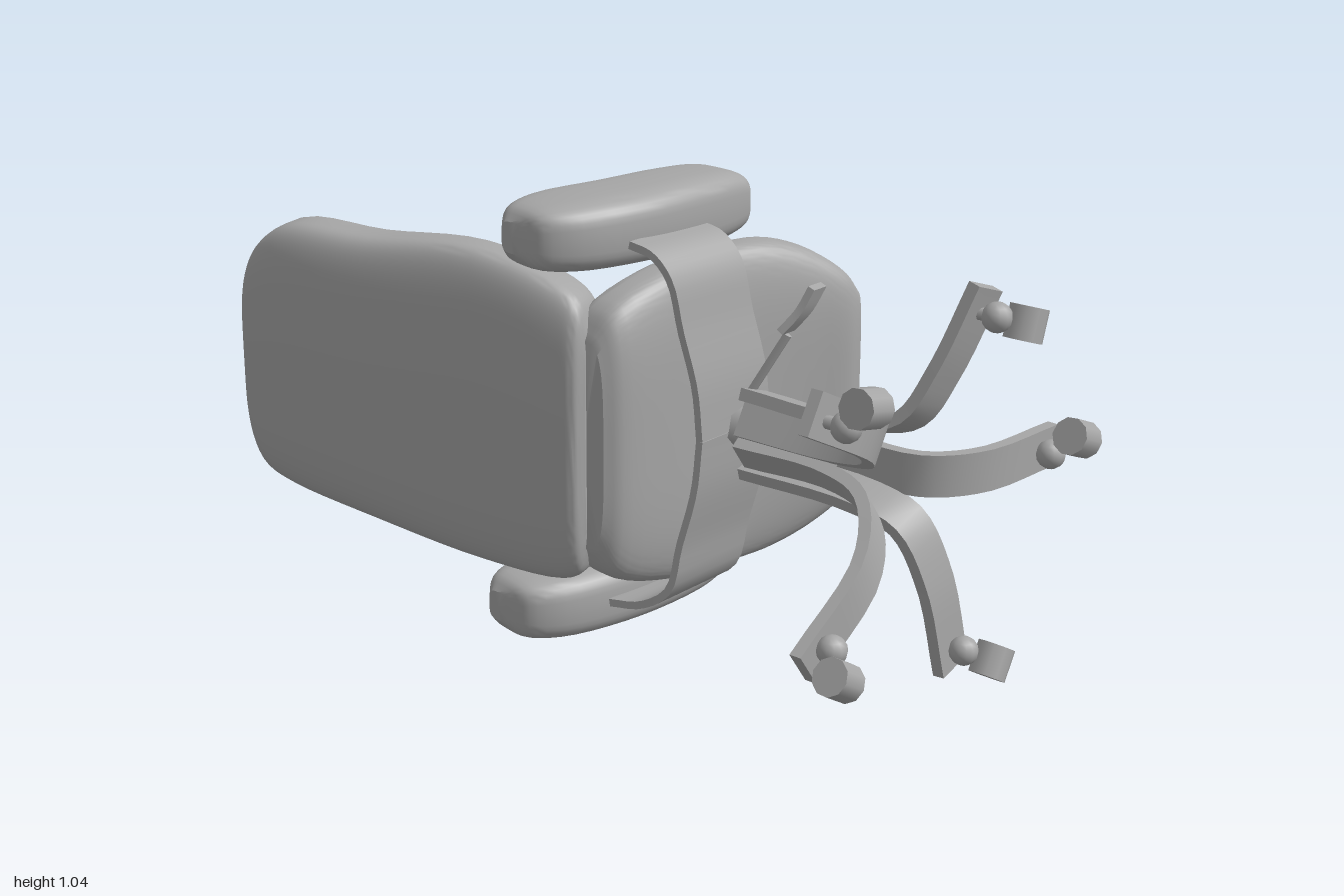
import * as THREE from 'three';
import { toCreasedNormals } from 'three/addons/utils/BufferGeometryUtils.js';

const V = (x, y, z) => new THREE.Vector3(x, y, z);
const grey = new THREE.MeshStandardMaterial({ color: 0xa6a6a6 });
grey.name = 'plain grey';

// Chair "down" axis: the whole chair lies on its side, slightly turned
const AXIS = V(0.97, 0, 0.24).normalize();
const CROSS = V(-0.24, 0, 0.97).normalize();

// Closed skin over a list of rings, wound so that it faces outwards
function skin(rings, crease) {
  const n = rings[0].length, m = rings.length, pts = rings.flat(), idx = [];
  for (let i = 0; i < m - 1; i++) for (let j = 0; j < n; j++) {
    const a = i * n + j, b = i * n + (j + 1) % n;
    idx.push(a, b, a + n, b, b + n, a + n);
  }
  for (const end of [0, m - 1]) {
    const c = pts.length, mid = V(0, 0, 0);
    rings[end].forEach(p => mid.addScaledVector(p, 1 / n));
    pts.push(mid);
    for (let j = 0; j < n; j++) {
      const a = end * n + j, b = end * n + (j + 1) % n;
      idx.push(...(end === 0 ? [c, b, a] : [c, a, b]));
    }
  }
  let volume = 0;
  for (let i = 0; i < idx.length; i += 3)
    volume += pts[idx[i]].dot(V(0, 0, 0).crossVectors(pts[idx[i + 1]], pts[idx[i + 2]]));
  if (volume < 0) idx.reverse();
  const geo = new THREE.BufferGeometry().setFromPoints(pts);
  geo.setIndex(idx);
  return toCreasedNormals(geo, crease);
}

// Cushion through rows of [face x, face z, back x, back z, centre y, half width];
// dent(y -1..1, t) pushes the face towards the back
function cushion(rows, { power = 0.5, steps = 30, sides = 64, dent = () => 0 } = {}) {
  const face = new THREE.CatmullRomCurve3(rows.map(r => V(r[0], r[4], r[1])));
  const back = new THREE.CatmullRomCurve3(rows.map(r => V(r[2], r[5], r[3])));
  const bend = v => Math.sign(v) * Math.abs(v) ** power;
  const rings = [];
  for (let i = 0; i <= steps; i++) {
    const t = i / steps, f = face.getPoint(t), b = back.getPoint(t), ring = [];
    for (let j = 0; j < sides; j++) {
      const a = j / sides * Math.PI * 2, c = bend(Math.cos(a)), s = bend(Math.sin(a));
      const k = 0.5 - 0.5 * s + (s > 0 ? dent(c, t) : 0);
      ring.push(V(f.x + (b.x - f.x) * k, f.y + b.y * c, f.z + (b.z - f.z) * k));
    }
    rings.push(ring);
  }
  return skin(rings, 0.6);
}

// Flat bent strip following a path, with its width along a fixed direction
function strip(points, across, width, thick, steps = 18) {
  const curve = new THREE.CatmullRomCurve3(points), rings = [];
  for (let i = 0; i <= steps; i++) {
    const p = curve.getPoint(i / steps);
    const n = curve.getTangent(i / steps).cross(across).normalize();
    rings.push([[1, 1], [-1, 1], [-1, -1], [1, -1]].map(([u, v]) =>
      p.clone().addScaledVector(across, u * width / 2).addScaledVector(n, v * thick / 2)));
  }
  return skin(rings, 0.5);
}

export function createModel() {
  const chair = new THREE.Group();
  chair.name = 'officeChair';
  const add = (name, geo, parent = chair) => {
    const mesh = new THREE.Mesh(geo, grey);
    mesh.name = name;
    parent.add(mesh);
    return mesh;
  };
  // Rod between two points
  const rod = (name, a, b, radius, sides, parent) => {
    const mesh = add(name, new THREE.CylinderGeometry(radius, radius, a.distanceTo(b), sides), parent);
    mesh.position.copy(a).lerp(b, 0.5);
    mesh.quaternion.setFromUnitVectors(V(0, 1, 0), b.clone().sub(a).normalize());
  };

  // Backrest: hollowed between side bolsters, with tapering shoulders
  add('backrest', cushion([
    [-0.99, 0.01, -1.0, 0.06, 0.555, 0.11],
    [-0.975, -0.03, -0.99, 0.095, 0.55, 0.2],
    [-0.94, -0.045, -0.95, 0.12, 0.55, 0.275],
    [-0.86, -0.045, -0.85, 0.15, 0.565, 0.322],
    [-0.6, 0.0, -0.6, 0.185, 0.555, 0.343],
    [-0.32, 0.035, -0.3, 0.205, 0.545, 0.37],
    [-0.1, 0.05, -0.08, 0.225, 0.52, 0.345],
    [-0.04, 0.07, -0.03, 0.225, 0.515, 0.315],
    [-0.015, 0.11, -0.01, 0.2, 0.515, 0.26],
  ], { steps: 40, dent: (c, t) => t > 0.5 && Math.abs(c) < 0.6 ? 0.09 * Math.min(1, (t - 0.5) * 6) * Math.min(1, (0.6 - Math.abs(c)) * 5) : 0 }));

  // Headrest pad
  add('headrestPad', cushion([
    [-0.93, -0.054, -0.93, -0.01, 0.56, 0.18],
    [-0.9, -0.06, -0.89, 0.0, 0.56, 0.205],
    [-0.74, -0.037, -0.74, 0.02, 0.56, 0.22],
    [-0.65, -0.018, -0.65, 0.03, 0.56, 0.21],
  ], { power: 0.35, steps: 10, sides: 32 }));

  // Seat: lengthwise stitched channels and a front edge that curls down
  add('seat', cushion([
    [-0.085, 0.17, 0.04, 0.21, 0.51, 0.24],
    [-0.07, 0.13, 0.08, 0.18, 0.51, 0.31],
    [-0.015, -0.02, 0.14, 0.03, 0.51, 0.365],
    [0.06, -0.2, 0.19, -0.14, 0.51, 0.38],
    [0.12, -0.35, 0.25, -0.25, 0.51, 0.375],
    [0.19, -0.44, 0.31, -0.34, 0.51, 0.34],
    [0.28, -0.488, 0.36, -0.41, 0.51, 0.28],
    [0.33, -0.485, 0.37, -0.45, 0.51, 0.23],
  ], {
    power: 0.55, sides: 128,
    dent: c => 0.06 * Math.max(0, ...[-0.66, -0.22, 0.22, 0.66].map(g => 1 - Math.abs(c - g) * 14)),
  }));

  // Armrests and the wide bands that carry them
  for (const [side, y, dx] of [[1, 0.958, 0], [-1, 0.085, -0.05]]) {
    const name = side > 0 ? 'upper' : 'lower';
    add(name + 'Armrest', cushion([
      [-0.22, 0.185, -0.16, 0.205, 0, 0.035],
      [-0.24, 0.14, -0.1, 0.21, 0, 0.064],
      [-0.235, 0.05, -0.03, 0.16, 0, 0.077],
      [-0.16, -0.1, 0.055, 0.01, 0, 0.082],
      [-0.09, -0.26, 0.115, -0.18, 0, 0.082],
      [-0.045, -0.355, 0.135, -0.29, 0, 0.074],
      [-0.02, -0.385, 0.135, -0.335, 0, 0.06],
      [0.015, -0.388, 0.105, -0.365, 0, 0.035],
    ].map(([a, b, c, d, , w]) => [a + dx, b, c + dx, d, y, w]), { power: 0.55, steps: 28, sides: 40 }));
    add(name + 'ArmrestBand', strip([
      V(0.23, 0.515, -0.05), V(0.22, 0.515 + side * 0.12, -0.045), V(0.19, 0.515 + side * 0.25, -0.035),
      V(0.165, 0.515 + side * 0.36, -0.03), V(0.12 + dx / 2, 0.515 + side * 0.41, -0.035),
      V(0.06 + dx, 0.515 + side * 0.425, -0.045),
    ], CROSS, 0.24, 0.018));
  }

  // Mount and slim column hidden between the legs
  const top = V(0.2, 0.515, -0.075);
  const along = d => top.clone().addScaledVector(AXIS, d);
  rod('mount', along(-0.02), along(0.1), 0.05, 6);
  rod('column', along(0.06), along(0.3), 0.036, 10);

  // Height lever
  rod('leverStem', V(0.24, 0.57, -0.09), V(0.33, 0.73, -0.11), 0.01, 6);
  add('leverPaddle', strip([V(0.325, 0.74, -0.11), V(0.36, 0.785, -0.125), V(0.385, 0.84, -0.14)], CROSS, 0.045, 0.018, 6));

  // Five bent legs, each with a caster: [path, caster ball, wheel]
  const legs = [
    [[[0.27, 0.56, -0.015], [0.5, 0.56, 0.04], [0.61, 0.585, 0.1], [0.66, 0.65, 0.22], [0.61, 0.76, 0.43]],
      [0.68, 0.735, 0.41], [0.72, 0.78, 0.41]],
    [[[0.27, 0.47, -0.015], [0.5, 0.47, 0.04], [0.61, 0.445, 0.1], [0.66, 0.36, 0.22], [0.61, 0.21, 0.43]],
      [0.66, 0.25, 0.4], [0.69, 0.205, 0.435]],
    [[[0.27, 0.595, -0.06], [0.55, 0.595, 0.01], [0.67, 0.63, 0.025], [0.735, 0.74, 0.005], [0.8, 0.92, -0.04]],
      [0.835, 0.865, -0.015], [0.885, 0.848, -0.055]],
    [[[0.27, 0.435, -0.06], [0.55, 0.435, 0.01], [0.67, 0.4, 0.025], [0.73, 0.27, 0], [0.76, 0.05, -0.05]],
      [0.795, 0.1, -0.03], [0.85, 0.075, -0.06]],
    [[[0.27, 0.49, -0.115], [0.5, 0.49, -0.065], [0.68, 0.49, -0.03], [0.785, 0.49, -0.11], [0.87, 0.49, -0.345]],
      [0.89, 0.49, -0.275], [0.945, 0.535, -0.28]],
  ];
  legs.forEach(([path, ball, wheel], i) => {
    const leg = new THREE.Group();
    leg.name = 'leg' + (i + 1);
    chair.add(leg);
    const pts = path.map(p => V(...p)), hub = V(...ball), w = V(...wheel);
    const across = pts[4].clone().sub(pts[1]).cross(AXIS).normalize();
    add('legStrip', strip(pts, across, 0.095, 0.028), leg);
    add('casterBall', new THREE.SphereGeometry(0.033, 12, 8), leg).position.copy(hub);
    rod('casterPin', hub.clone().addScaledVector(AXIS, -0.05), hub, 0.014, 8, leg);
    const axle = w.clone().sub(hub).cross(AXIS).normalize().multiplyScalar(0.036);
    rod('casterWheel', w.clone().sub(axle), w.clone().add(axle), 0.042, 10, leg);
  });
  return chair;
}
